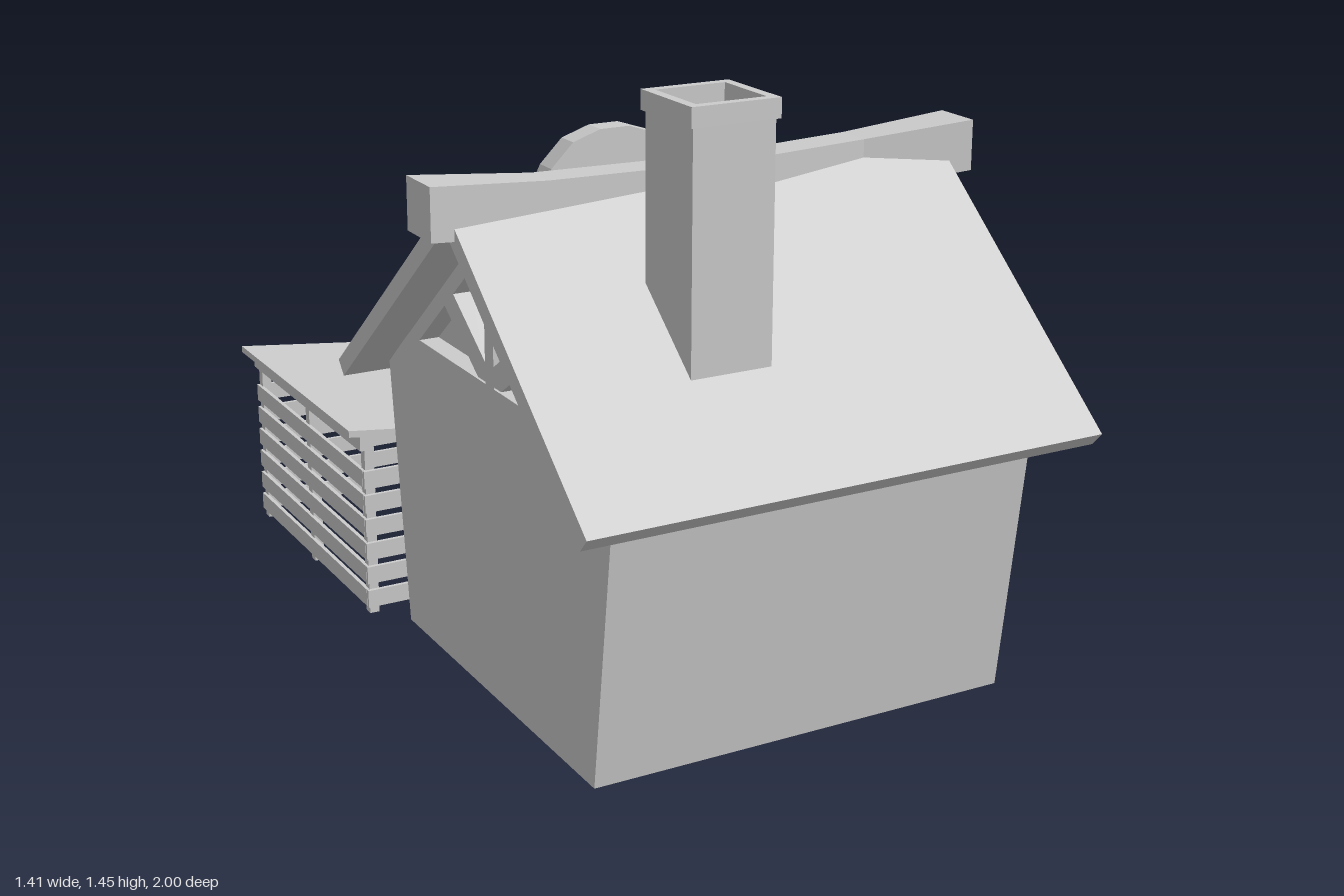
import * as THREE from 'three';

const mat = new THREE.MeshStandardMaterial({ color: 0xcccccc, side: THREE.DoubleSide });
const RIDGE = 0.343; // z of the ridge line

export function createModel() {
  const root = new THREE.Group();
  const add = (name, geo, parent = root) => {
    const m = new THREE.Mesh(geo, mat);
    m.name = name;
    parent.add(m);
    return m;
  };
  const group = (name) => {
    const g = new THREE.Group();
    g.name = name;
    root.add(g);
    return g;
  };
  const poly = (pts, hole) => {
    const s = new THREE.Shape(pts.map(p => new THREE.Vector2(...p)));
    if (hole) s.holes.push(new THREE.Path(hole.map(p => new THREE.Vector2(...p))));
    return s;
  };
  const rect = (a, b, c, d) => [[a, c], [b, c], [b, d], [a, d]];
  // (z, y) outline extruded from x0 to x1
  const prism = (pts, x0, x1, hole) =>
    new THREE.ExtrudeGeometry(poly(pts, hole), { depth: x1 - x0, bevelEnabled: false })
      .rotateY(-Math.PI / 2).translate(x1, 0, 0);
  // (x, y) outline extruded from z0 to z1
  const slab = (pts, z0, z1, hole) =>
    new THREE.ExtrudeGeometry(poly(pts, hole), { depth: z1 - z0, bevelEnabled: false }).translate(0, 0, z0);
  const box = (x0, x1, y0, y1, z0, z1) =>
    new THREE.BoxGeometry(x1 - x0, y1 - y0, z1 - z0)
      .translate((x0 + x1) / 2, (y0 + y1) / 2, (z0 + z1) / 2);

  // House body: tapered core with thicker end walls, one pierced by the doorway
  add('houseBody', prism([[0.835, 0.01], [0.92, 0.665], [RIDGE, 1.14], [-0.235, 0.665], [-0.15, 0.01]], -0.5, 0.46));
  const wall = [[0.835, 0.01], [0.92, 0.665], [0.855, 0.72], [-0.17, 0.72], [-0.235, 0.665], [-0.15, 0.01]];
  add('doorWall', prism(wall, 0.46, 0.51, rect(0.145, 0.535, 0.012, 0.58)));
  add('plainWall', prism(wall, -0.55, -0.5));
  add('doorFrame', prism(rect(0.145, 0.535, 0.012, 0.58), 0.46, 0.495, rect(0.16, 0.52, 0.027, 0.567)));
  add('door', prism(rect(0.16, 0.52, 0.027, 0.567), 0.46, 0.472));

  // Gable timbers on both ends
  for (const [x0, x1] of [[0.46, 0.51], [-0.55, -0.5]]) {
    const truss = group('gableTruss');
    add('tieBeam', prism([[0.855, 0.72], [0.795, 0.77], [-0.109, 0.77], [-0.17, 0.72]], x0, x1), truss);
    add('kingPost', prism(rect(RIDGE - 0.022, RIDGE + 0.022, 0.77, 1.13), x0, x1), truss);
    for (const s of [1, -1]) {
      const side = (pts) => pts.map(([d, y]) => [RIDGE + s * d, y]);
      add('rafter', prism(side([[0, 1.14], [0.512, 0.72], [0.45, 0.72], [0, 1.089]]), x0, x1), truss);
      add('brace', prism(side([[0.02, 0.775], [0.06, 0.775], [0.265, 0.915], [0.215, 0.955], [0.02, 0.82]]), x0, x1), truss);
    }
  }

  // Roof
  add('roof', prism([[1, 0.66], [RIDGE, 1.2], [-0.317, 0.66], [-0.287, 0.627], [RIDGE, 1.142], [0.97, 0.627]], -0.65, 0.645));

  // Crooked ridge beam: stations of x, zMin, zMax, top
  const st = [[-0.706, 0.275, 0.4, 1.255], [-0.42, 0.3, 0.385, 1.233], [-0.14, 0.285, 0.37, 1.224],
    [0.14, 0.3, 0.39, 1.228], [0.42, 0.27, 0.36, 1.23], [0.704, 0.275, 0.4, 1.255]];
  const beam = new THREE.BoxGeometry(1, 1, 1, 5, 1, 1);
  const bp = beam.attributes.position;
  for (let i = 0; i < bp.count; i++) {
    const [x, z0, z1, top] = st[Math.round((bp.getX(i) + 0.5) * 5)];
    bp.setXYZ(i, x, bp.getY(i) > 0 ? top : top - 0.123, bp.getZ(i) > 0 ? z1 : z0);
  }
  const beamFlat = beam.toNonIndexed();
  beamFlat.computeVertexNormals();
  add('ridgeBeam', beamFlat);

  // Hollow chimney: square tubes extruded upward
  const chimney = group('chimney');
  const tube = (name, half, inner, y0, y1) => {
    const g = slab(rect(-half, half, -half, half), y0, y1, rect(-inner, inner, -inner, inner));
    add(name, g.rotateX(-Math.PI / 2).translate(-0.173, 0, 0.655), chimney);
  };
  tube('chimneyShaft', 0.1, 0.085, 0.8, 1.405);
  tube('chimneyCap', 0.108, 0.085, 1.405, 1.45);

  // Blank sign board with a rounded hump and raised rim
  const half = [[0.38, 0.79], [0.405, 0.815], [0.405, 1.0], [0.38, 1.03], [0.23, 1.035], [0.205, 1.06],
    [0.175, 1.12], [0.115, 1.18], [0.04, 1.205]];
  const outline = (kx, ky) => [...half, ...half.map(([x, y]) => [-x, y]).reverse()]
    .map(([x, y]) => [0.022 + x * kx, 0.96 + (y - 0.96) * ky]);
  const sign = group('sign');
  add('signRim', slab(outline(1, 1), -0.197, -0.135, outline(0.95, 0.89)), sign);
  add('signPanel', slab(outline(0.95, 0.89), -0.185, -0.147), sign);

  // Door canopy: wavy sheet tilted outward
  const wave = [[0.57, 0.645], [0.52, 0.64], [0.5, 0.667], [0.46, 0.655], [0.4, 0.648], [0.385, 0.668],
    [0.34, 0.66], [0.295, 0.65], [0.28, 0.672], [0.235, 0.66], [0.21, 0.645], [0.13, 0.645]];
  const canopy = prism([...wave, ...wave.map(([z, y]) => [z, y - 0.026]).reverse()], 0.505, 0.663);
  const cp = canopy.attributes.position;
  for (let i = 0; i < cp.count; i++) cp.setY(i, cp.getY(i) - 0.36 * (cp.getX(i) - 0.505));
  canopy.computeVertexNormals();
  add('doorCanopy', canopy);

  // Lean-to shelter: slatted on three sides, open towards +x
  const shed = group('shelter');
  add('shelterRoof', slab([[-0.667, 0.488], [-0.148, 0.428], [-0.148, 0.445], [-0.667, 0.505]], -1, -0.225), shed);
  for (const z of [-0.245, -0.625, -0.978]) {
    add('backPost', box(-0.625, -0.6, 0.01, 0.482, z - 0.012, z + 0.012), shed);
    add('frontPost', box(-0.19, -0.165, 0.01, 0.432, z - 0.012, z + 0.012), shed);
  }
  for (let i = 0; i < 6; i++) {
    const y = 0.03 + i * 0.0635;
    add('backSlat', box(-0.632, -0.622, y, y + 0.045, -0.985, -0.235), shed);
    for (const z of [-0.228, -0.987])
      add('sideSlat', box(-0.632, -0.16, y, y + 0.045, z - 0.005, z + 0.005), shed);
  }
  add('topRail', box(-0.637, -0.622, 0.445, 0.484, -0.99, -0.23), shed);

  // Chopping block and axe
  add('choppingBlock', new THREE.CylinderGeometry(0.09, 0.09, 0.095, 24).translate(0.3, 0.0475, -0.722));
  const axe = group('axe');
  const path = new THREE.CatmullRomCurve3([[-0.635, 0.135], [-0.7, 0.19], [-0.77, 0.235], [-0.86, 0.285], [-0.935, 0.307]]
    .map(([z, y]) => new THREE.Vector3(0.3, y, z)));
  add('axeHandle', new THREE.TubeGeometry(path, 12, 0.008, 6), axe);
  const head = prism([[-0.665, 0.175], [-0.7, 0.2], [-0.725, 0.155], [-0.775, 0.118], [-0.75, 0.09],
    [-0.67, 0.085], [-0.655, 0.1], [-0.685, 0.135]], 0.288, 0.312);
  const hp = head.attributes.position;
  // Thin the head towards its cutting edge
  for (let i = 0; i < hp.count; i++) {
    const k = THREE.MathUtils.clamp((hp.getY(i) - 0.08) / 0.08, 0.1, 1);
    hp.setX(i, 0.3 + (hp.getX(i) - 0.3) * k);
  }
  head.computeVertexNormals();
  add('axeHead', head, axe);

  return root;
}
